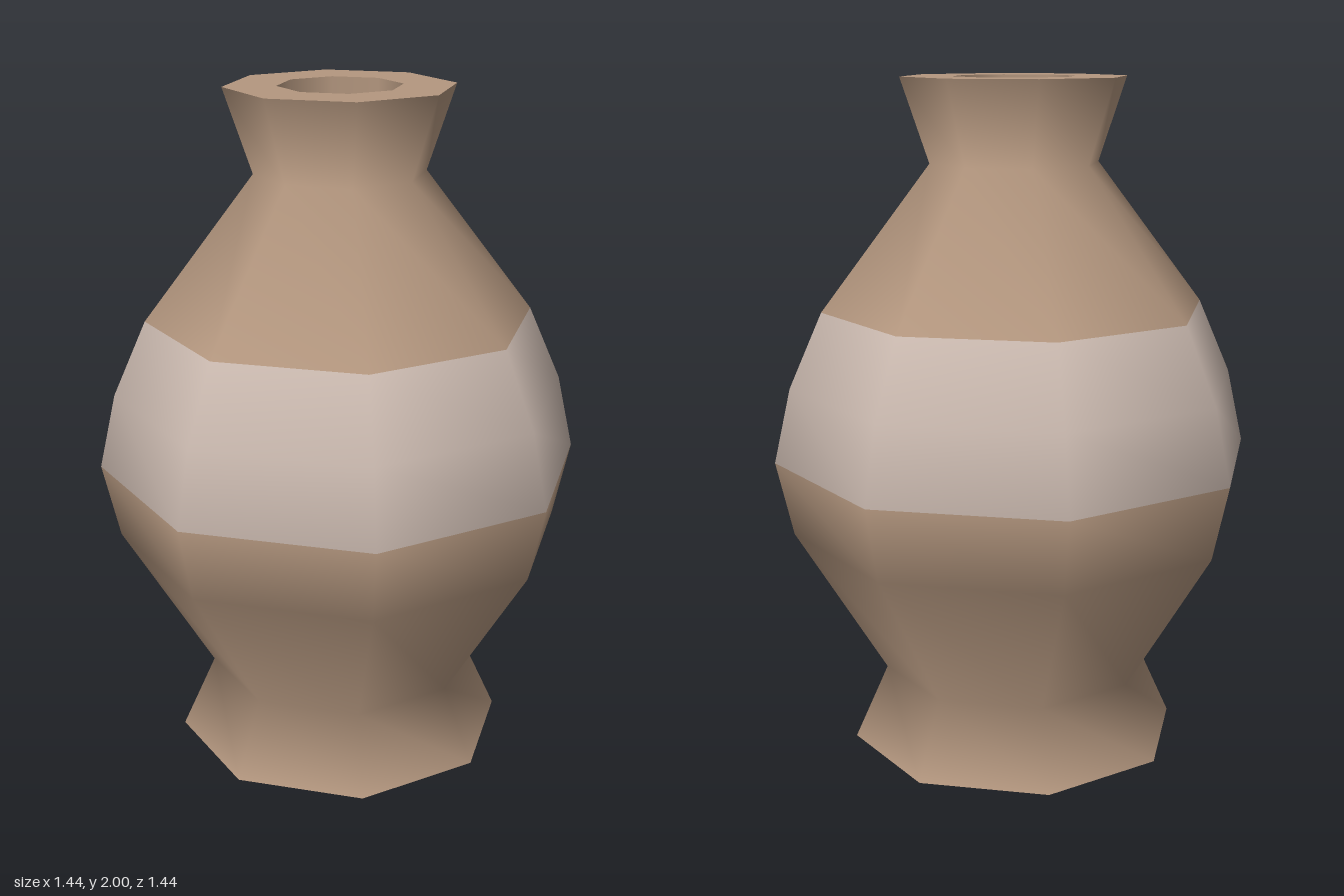
import * as THREE from 'three';

const SIDES = 8;

export function createModel() {
  const model = new THREE.Group();
  model.name = 'vase';

  const clay = new THREE.MeshStandardMaterial({ color: 0xb4977f });
  clay.name = 'clay';
  const paleBand = new THREE.MeshStandardMaterial({ color: 0xc9b8ae });
  paleBand.name = 'pale band';

  const add = (name, geometry, material) => {
    const mesh = new THREE.Mesh(geometry, material);
    mesh.name = name;
    model.add(mesh);
    return mesh;
  };
  const lathe = (points) =>
    new THREE.LatheGeometry(points.map(([r, y]) => new THREE.Vector2(r, y)), SIDES);

  // Outer wall, from the foot up to the lip
  const profile = [
    [0.5, 0], [0.4, 0.222], [0.67, 0.667], [0.72, 0.889],
    [0.67, 1.111], [0.572, 1.333], [0.25, 1.755], [0.333, 2],
  ];
  const wall = lathe(profile);

  // The painted band covers profile steps 3 and 4 on every side
  const steps = profile.length - 1;
  for (let side = 0; side < SIDES; side++) {
    const start = side * steps * 6;
    wall.addGroup(start, 3 * 6, 0);
    wall.addGroup(start + 3 * 6, 2 * 6, 1);
    wall.addGroup(start + 5 * 6, (steps - 5) * 6, 0);
  }
  add('outerWall', wall, [clay, paleBand]);

  // Flat rim around the opening
  const rim = add('rim', new THREE.RingGeometry(0.18, 0.333, SIDES), clay);
  rim.rotation.x = -Math.PI / 2;
  rim.position.y = 2;

  // Straight well inside the neck and its floor
  add('innerWall', lathe([[0.18, 2], [0.18, 1.755]]), clay);
  const floor = add('innerFloor', new THREE.CircleGeometry(0.18, SIDES), clay);
  floor.rotation.x = -Math.PI / 2;
  floor.position.y = 1.755;

  // Underside
  const base = add('base', new THREE.CircleGeometry(0.5, SIDES), clay);
  base.rotation.x = Math.PI / 2;

  return model;
}
